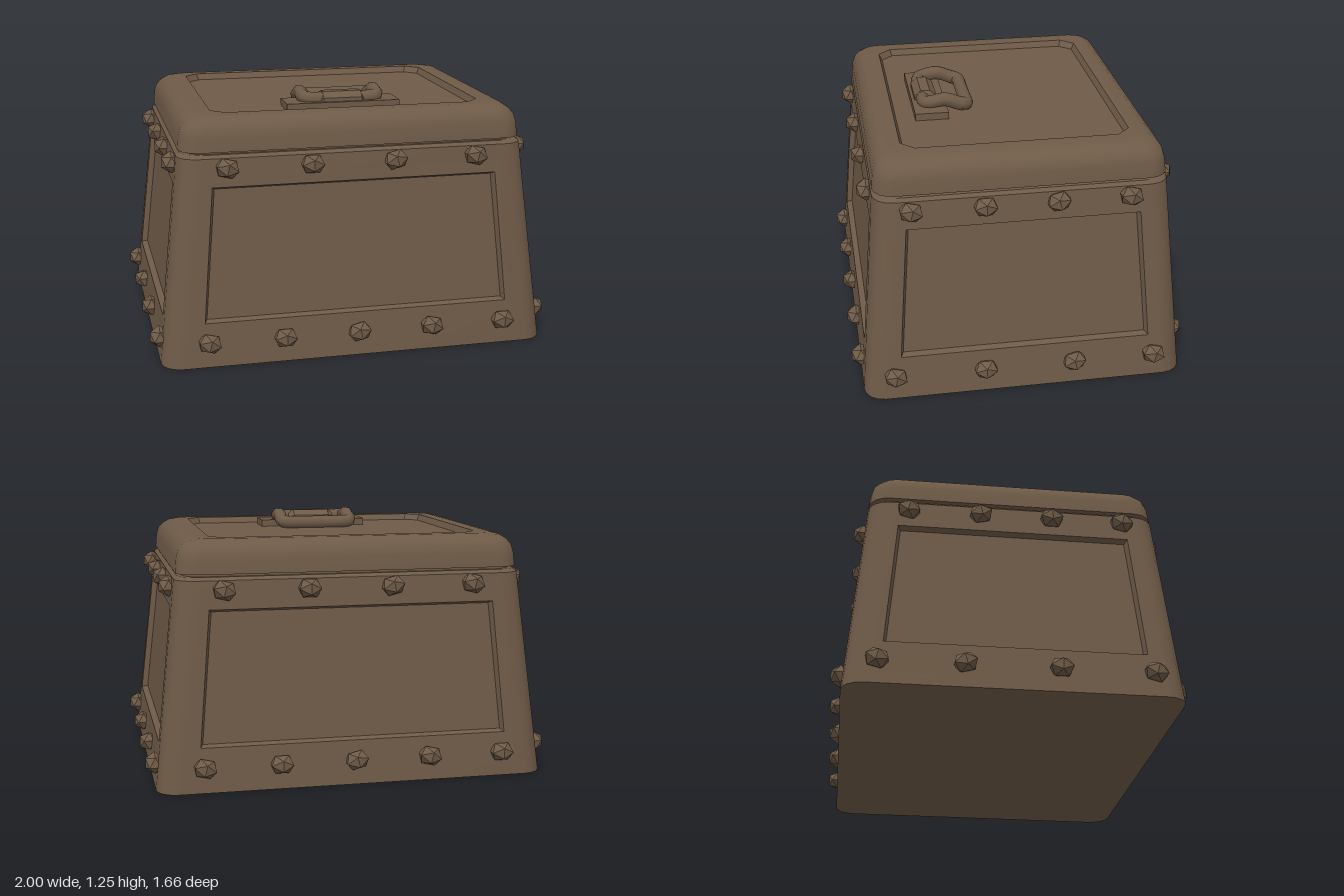
import * as THREE from 'three';
import { toCreasedNormals } from 'three/addons/utils/BufferGeometryUtils.js';

const SEG = 4; // segments per rounded corner
const lerp = THREE.MathUtils.lerp;

// Side k (0 front, 1 left, 2 back, 3 right): u runs along the side, n points outward
function sidePoint(k, u, y, n) {
  return [[u, y, n], [n, y, -u], [-u, y, -n], [-n, y, u]][k];
}

// Horizontal rectangle with rounded or chamfered corners
function loop(hx, hz, c, y, chamfer = false) {
  const pts = [];
  for (let k = 0; k < 4; k++) {
    const [w, n] = k % 2 ? [hz, hx] : [hx, hz];
    for (let i = 0; i <= SEG; i++) {
      const t = i / SEG, a = t * Math.PI / 2;
      const s = chamfer ? t : Math.sin(a), q = chamfer ? 1 - t : Math.cos(a);
      pts.push(sidePoint(k, w - c + c * s, y, n - c + c * q));
    }
  }
  return pts;
}

// Collects faces into one geometry
function builder() {
  const pos = [];
  const tri = (a, b, c) => pos.push(...a, ...b, ...c);
  const quad = (a, b, c, d) => { tri(a, b, c); tri(a, c, d); };
  const band = (A, B, cornersOnly = false) => A.forEach((p, i) => {
    if (cornersOnly && i % (SEG + 1) === SEG) return;
    const j = (i + 1) % A.length;
    quad(p, A[j], B[j], B[i]);
  });
  const cap = (L, up) => L.forEach((p, i) => {
    const q = L[(i + 1) % L.length], m = [0, p[1], 0];
    up ? tri(m, p, q) : tri(m, q, p);
  });
  const geometry = () => {
    const g = new THREE.BufferGeometry();
    g.setAttribute('position', new THREE.Float32BufferAttribute(pos, 3));
    return toCreasedNormals(g, 0.6);
  };
  return { quad, band, cap, geometry };
}

const TOP = 0.995, CORNER = 0.1;
const halfX = y => lerp(0.955, 0.845, y / TOP);
const halfZ = y => lerp(0.785, 0.7, y / TOP);

// Tapered box with a recessed panel on each side
function bodyGeometry() {
  const b = builder();
  const low = loop(halfX(0), halfZ(0), CORNER, 0);
  const high = loop(halfX(TOP), halfZ(TOP), CORNER, TOP);
  const rim = loop(0.828, 0.683, CORNER, 1.01);
  b.cap(low, false);
  b.band(low, high, true);
  b.band(high, rim);
  b.cap(rim, true);
  for (let k = 0; k < 4; k++) {
    const [w, n] = k % 2 ? [halfZ, halfX] : [halfX, halfZ];
    const [wLow, wHigh] = k % 2 ? [0.605, 0.555] : [0.748, 0.692];
    const rect = (a, y0, c, y1, depth) => [[-a, y0], [a, y0], [c, y1], [-c, y1]]
      .map(([u, y]) => sidePoint(k, u, y, n(y) - depth));
    const outer = rect(w(0) - CORNER, 0, w(TOP) - CORNER, TOP, 0);
    const edge = rect(wLow, 0.215, wHigh, 0.86, 0);
    const floor = rect(wLow - 0.013, 0.225, wHigh - 0.013, 0.847, 0.03);
    for (let i = 0; i < 4; i++) {
      const j = (i + 1) % 4;
      b.quad(outer[i], outer[j], edge[j], edge[i]);
      b.quad(edge[i], edge[j], floor[j], floor[i]);
    }
    b.quad(...floor);
  }
  return b.geometry();
}

// Lid with a rounded rim and a sunken, corner-cut top panel
function lidGeometry() {
  const b = builder();
  const loops = [
    [0.805, 0.665, 0.09, 1.005], [0.805, 0.665, 0.09, 1.021],
    [0.836, 0.697, 0.1, 1.023], [0.83, 0.69, 0.1, 1.09],
    [0.82, 0.68, 0.1, 1.127], [0.798, 0.661, 0.1, 1.155],
    [0.767, 0.636, 0.09, 1.174], [0.73, 0.605, 0.08, 1.181],
    [0.665, 0.548, 0.065, 1.181, true], [0.65, 0.533, 0.06, 1.15, true],
  ].map(a => loop(...a));
  b.cap(loops[0], false);
  for (let i = 1; i < loops.length; i++) b.band(loops[i - 1], loops[i]);
  b.cap(loops[loops.length - 1], true);
  return b.geometry();
}

export function createModel() {
  const model = new THREE.Group();
  const brown = new THREE.MeshStandardMaterial({ color: 0x6e5a47 });
  brown.name = 'brown';
  const add = (name, geometry, parent = model) => {
    const mesh = new THREE.Mesh(geometry, brown);
    mesh.name = name;
    parent.add(mesh);
    return mesh;
  };

  add('body', bodyGeometry());
  add('lid', lidGeometry());

  // Faceted rivets in an upper and a lower row on every side
  const rivets = new THREE.Group();
  rivets.name = 'rivets';
  model.add(rivets);
  const rivet = new THREE.IcosahedronGeometry(0.053, 0).scale(1.18, 0.95, 1);
  const rows = [
    { y: 0.12, wide: [-0.73, -0.365, 0, 0.365, 0.73], deep: [-0.635, -0.2, 0.235, 0.63] },
    { y: 0.95, wide: [-0.62, -0.215, 0.19, 0.59], deep: [-0.53, -0.185, 0.16, 0.505] },
  ];
  for (let k = 0; k < 4; k++) {
    for (const { y, wide, deep } of rows) {
      const n = (k % 2 ? halfX(y) : halfZ(y)) + 0.012;
      (k % 2 ? deep : wide).forEach((u, i) => {
        // the right side mirrors the left side
        const m = add('rivet', rivet, rivets);
        m.position.set(...sidePoint(k, k === 3 ? -u : u, y, n));
        m.rotation.set(0, k * Math.PI / 2, (i % 3 - 1) * 0.25, 'YXZ');
      });
    }
  }

  // Handle: base plate, clasp and arched ring
  const handle = new THREE.Group();
  handle.name = 'handle';
  model.add(handle);
  add('handlePlate', new THREE.BoxGeometry(0.565, 0.036, 0.165), handle).position.set(0, 1.167, 0.358);

  const profile = [[0, -0.122], [0.035, -0.122], [0.06, -0.095], [0.06, 0.095], [0.035, 0.122], [0, 0.122]]
    .map(p => new THREE.Vector2(...p));
  const claspGeometry = new THREE.LatheGeometry(profile, 8).rotateY(Math.PI / 8)
    .rotateZ(Math.PI / 2).scale(1, 0.85, 1).toNonIndexed();
  claspGeometry.computeVertexNormals();
  add('clasp', claspGeometry, handle).position.set(0, 1.184, 0.37);

  const half = [[0.08, 1.178, 0.17], [0.15, 1.179, 0.17], [0.178, 1.182, 0.182], [0.186, 1.19, 0.21],
    [0.186, 1.215, 0.28], [0.186, 1.205, 0.345], [0.178, 1.199, 0.372], [0.15, 1.196, 0.384], [0.08, 1.195, 0.384]];
  const path = [...half, ...half.map(([x, y, z]) => [-x, y, z]).reverse()].map(p => new THREE.Vector3(...p));
  const curve = new THREE.CatmullRomCurve3(path, true);
  add('handleRing', new THREE.TubeGeometry(curve, 56, 0.034, 8, true), handle);

  return model;
}
